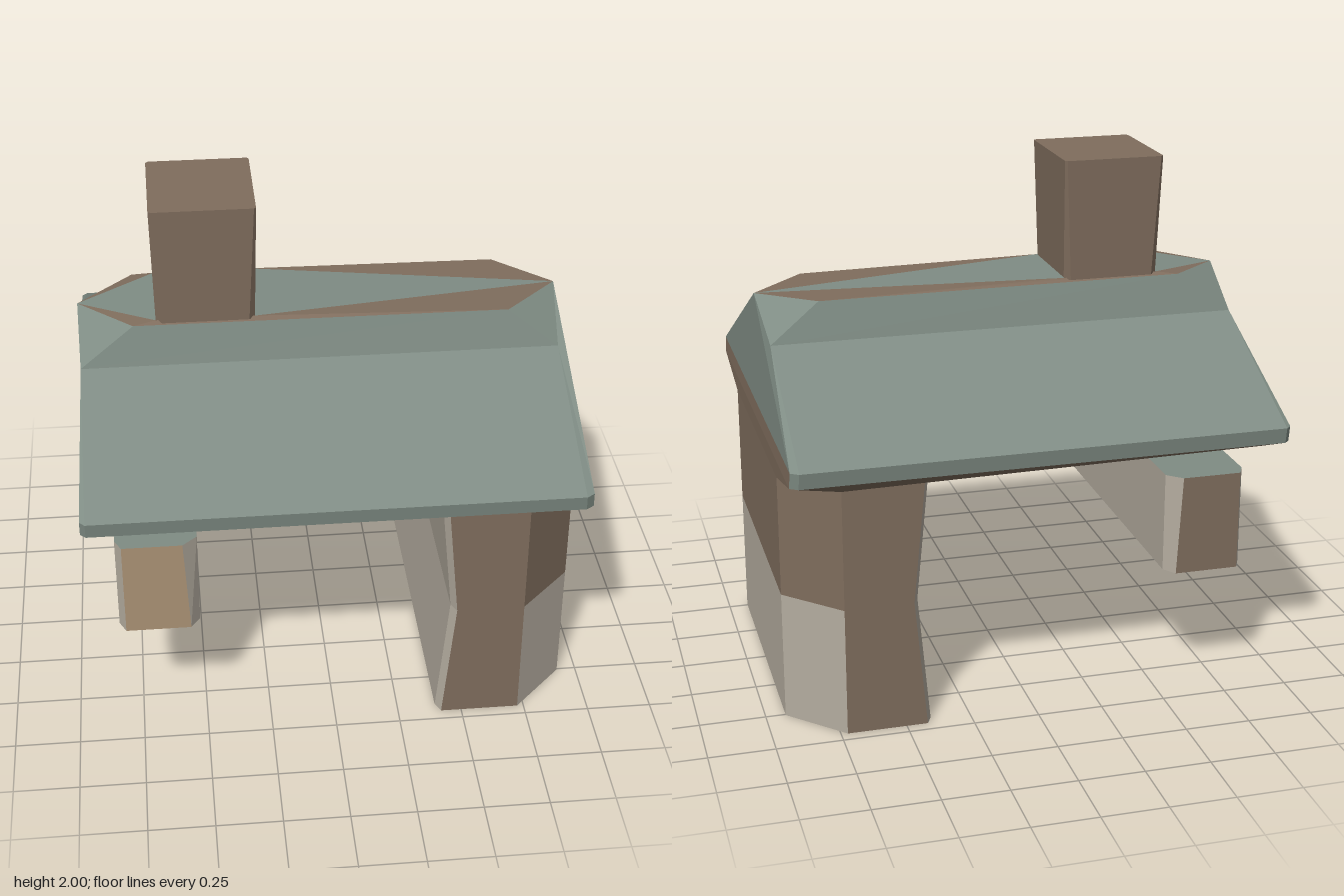
import * as THREE from 'three';

const BROWN = 0x7f6d5d, GREEN = 0x7f8c84, GREY = 0xb5ada0, TAN = 0xab9275;

// Flat polygons, fan-triangulated and turned to face away from a centre point
function faces(name, color, polys, center) {
  const pos = [], c = new THREE.Vector3(...center);
  for (const poly of polys) {
    const p = poly.map(v => new THREE.Vector3(...v));
    const mid = p.reduce((s, v) => s.add(v), new THREE.Vector3()).divideScalar(p.length);
    const normal = new THREE.Vector3();
    p.forEach((v, i) => normal.add(v.clone().cross(p[(i + 1) % p.length])));
    if (normal.dot(mid.sub(c)) < 0) p.reverse();
    for (let i = 1; i < p.length - 1; i++)
      for (const v of [p[0], p[i], p[i + 1]]) pos.push(v.x, v.y, v.z);
  }
  const geo = new THREE.BufferGeometry();
  geo.setAttribute('position', new THREE.Float32BufferAttribute(pos, 3));
  geo.computeVertexNormals();
  const mesh = new THREE.Mesh(geo, new THREE.MeshStandardMaterial({
    color, flatShading: true, side: THREE.DoubleSide }));
  mesh.name = name;
  return mesh;
}

// Part made of coloured polygons, one mesh per colour
function part(name, center, list) {
  const g = new THREE.Group();
  g.name = name;
  for (const color of new Set(list.map(f => f[0])))
    g.add(faces(name + 'Surface', color, list.filter(f => f[0] === color).map(f => f[1]), center));
  return g;
}

// Rectangle with cut corners: c0 is the cut at the x0 end, c1 at the x1 end.
// Sides in order: +x, corner, +z, corner, -x, corner, -z, corner
function ring(y0, y1, x0, x1, z, c0, c1, d0 = c0, d1 = c1) {
  return [
    [x1, y1, -z + d1], [x1, y1, z - d1], [x1 - c1, y1, z], [x0 + c0, y0, z],
    [x0, y0, z - d0], [x0, y0, -z + d0], [x0 + c0, y0, -z], [x1 - c1, y1, -z]];
}

// Side faces between two rings, one colour per side
const band = (a, b, colors) => a.map((p, i) => {
  const j = (i + 1) % a.length;
  return [Array.isArray(colors) ? colors[i] : colors, [p, a[j], b[j], b[i]]];
});

export function createModel() {
  const model = new THREE.Group();

  // Side wall: stone base, timber above, slightly waisted inner face
  const section = (y, xi) => ring(y, y, xi, 0.925, 0.705, 0.02, 0.2, 0.04, 0.2);
  const low = section(0, 0.4), mid = section(0.5, 0.445), high = section(0.975, 0.4);
  model.add(part('sideWall', [0.68, 0.5, 0], [
    ...band(low, mid, [GREY, GREY, BROWN, GREY, GREY, GREY, BROWN, GREY]),
    ...band(mid, high, [BROWN, BROWN, BROWN, GREY, GREY, GREY, BROWN, BROWN])]));

  // Low beam on the open side
  const beamLow = ring(0.5, 0.5, -0.82, -0.515, 0.705, 0.025, 0.035, 0.05, 0.05);
  const beamHigh = ring(0.885, 0.885, -0.82, -0.515, 0.705, 0.025, 0.055, 0.05, 0.05);
  model.add(part('sideBeam', [-0.67, 0.7, 0], [
    ...band(beamLow, beamHigh, [GREY, GREY, TAN, GREY, GREY, GREY, BROWN, GREY]),
    [GREEN, beamLow], [GREEN, beamHigh]]));

  // Roof edge and underside
  const eaveTop = ring(1.1, 1.1, -0.932, 0.925, 0.845, 0.02, 0.03, 0.02, 0.02);
  const eaveLow = ring(1.04, 1.04, -0.932, 0.928, 0.835, 0.02, 0.03, 0.02, 0.02);
  const soffit = ring(0.985, 0.965, -0.9, 0.925, 0.705, 0.02, 0.2);
  model.add(part('eaves', [0, 1.15, 0], [
    ...band(eaveLow, eaveTop, [BROWN, GREEN, GREEN, GREEN, BROWN, GREEN, GREEN, GREEN]),
    ...band(soffit, eaveLow, BROWN),
    [BROWN, soffit]]));

  // Roof slopes, gables and ridge
  const roof = [];
  const creaseX = { '-1': -0.912, 1: 0.89 };
  const ridgeX = { '-1': -0.71, 1: 0.7 };
  const footX = { '-1': -0.625, 1: -0.255 };
  const eave = { '-1': [-0.932, -0.912], 1: [0.925, 0.895] };
  const crease = (s, t) => [creaseX[s], 1.38, t * 0.24];
  const ridge = (s, t) => [ridgeX[s], s < 0 ? 1.53 : 1.525, t * 0.2];
  const foot = (s, t) => [footX[s], 1.542, t * 0.185];
  const tip = s => [s < 0 ? -0.918 : 0.912, 1.52, -0.01];
  for (const t of [-1, 1]) {
    roof.push([GREEN, [[eave[-1][1], 1.1, t * 0.845], [eave[1][1], 1.1, t * 0.845], crease(1, t), crease(-1, t)]]);
    roof.push([GREEN, [crease(-1, t), crease(1, t), ridge(1, t), ridge(-1, t)]]);
    roof.push([BROWN, [ridge(-1, t), ridge(1, t), foot(1, t), foot(-1, t)]]);
    for (const s of [-1, 1]) {
      roof.push([GREEN, [crease(s, t), ridge(s, t), tip(s)]]);
      roof.push([BROWN, [tip(s), ridge(s, t), foot(s, t)]]);
      roof.push([GREEN, [[eave[s][0], 1.1, t * 0.825], [eave[s][1], 1.1, t * 0.845], crease(s, t)]]);
    }
  }
  for (const s of [-1, 1]) {
    roof.push([GREEN, [tip(s), foot(s, -1), foot(s, 1)]]);
    roof.push([GREEN, [tip(s), crease(s, 1), [eave[s][0], 1.1, 0.825], [eave[s][0], 1.1, -0.825], crease(s, -1)]]);
  }
  model.add(part('roof', [0, 1.1, 0], roof));

  // Chimney, widening upward
  const base = ring(1.535, 1.535, -0.625, -0.255, 0.198, 0.024, 0.022);
  const top = ring(2, 2, -0.634, -0.245, 0.214, 0.01, 0.008);
  model.add(part('chimney', [-0.44, 1.75, 0], [...band(base, top, BROWN), [BROWN, top]]));

  return model;
}
